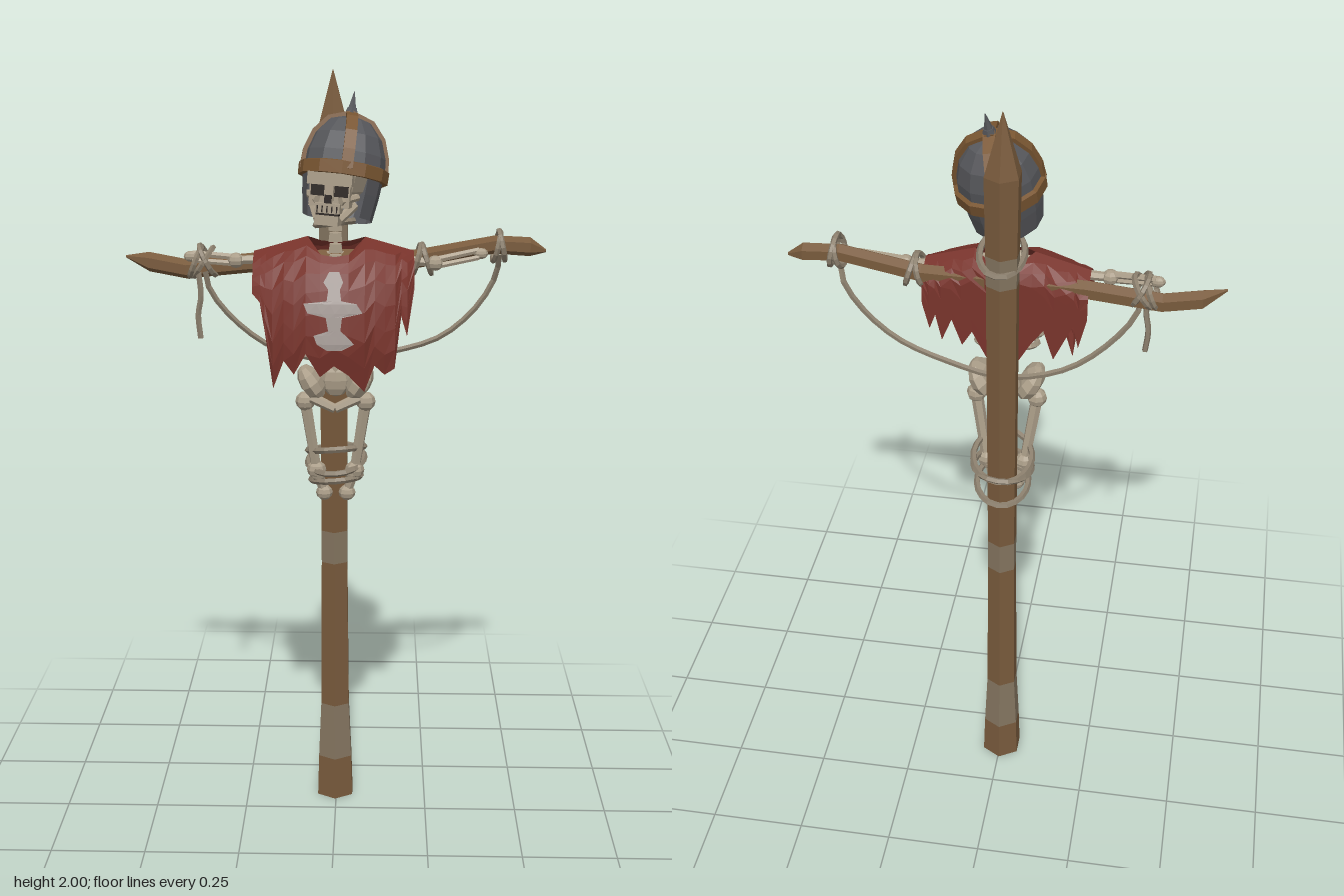
import * as THREE from 'three';

const mat = (name, color, double) => {
  const m = new THREE.MeshStandardMaterial({ color });
  m.name = name;
  if (double) m.side = THREE.DoubleSide;
  return m;
};
const V = (x, y, z) => new THREE.Vector3(x, y, z);

export function createModel() {
  const root = new THREE.Group();
  const wood = mat('wood', 0x785a3c), pale = mat('worn wood', 0x83745f);
  const bone = mat('bone', 0xaa9d88), rope = mat('rope', 0x8c806e);
  const red = mat('red cloth', 0x78332b, true), emblemGrey = mat('emblem grey', 0xa59b96, true);
  const metal = mat('helmet metal', 0x56575b, true), trim = mat('helmet trim', 0x785531);
  const dark = mat('dark hollow', 0x2a231f);

  // Faceted mesh
  const add = (name, geo, material, parent = root) => {
    const g = geo.index ? geo.toNonIndexed() : geo;
    g.computeVertexNormals();
    const mesh = new THREE.Mesh(g, material);
    mesh.name = name;
    parent.add(mesh);
    return mesh;
  };
  const indexed = (pos, idx) => {
    const g = new THREE.BufferGeometry();
    g.setAttribute('position', new THREE.Float32BufferAttribute(pos, 3));
    g.setIndex(idx);
    return g;
  };
  // Capped skin over rings [x, y, z, radius], with u x v along the path
  const loft = (rings, u, v, sides) => {
    const pos = [], idx = [], last = (rings.length - 1) * sides;
    for (const [x, y, z, r] of rings)
      for (let k = 0; k < sides; k++) {
        const a = (k / sides) * Math.PI * 2;
        pos.push(...V(x, y, z).addScaledVector(u, r * Math.cos(a)).addScaledVector(v, r * Math.sin(a)).toArray());
      }
    for (let i = 0; i < last; i += sides)
      for (let k = 0; k < sides; k++) {
        const a = i + k, b = i + (k + 1) % sides;
        idx.push(a, b, b + sides, a, b + sides, a + sides);
      }
    for (let k = 1; k < sides - 1; k++) idx.push(0, k + 1, k, last, last + k, last + k + 1);
    return indexed(pos, idx);
  };
  // Open sheet sampled from fn(column, row)
  const sheet = (nu, nv, fn) => {
    const pos = [], idx = [];
    for (let i = 0; i < nu; i++) for (let j = 0; j < nv; j++) pos.push(...fn(i, j));
    for (let i = 0; i < nu - 1; i++) for (let j = 0; j < nv - 1; j++) {
      const a = i * nv + j, b = a + nv;
      idx.push(a, a + 1, b, b, a + 1, b + 1);
    }
    return indexed(pos, idx);
  };
  const rod = (name, a, b, r1, r2, material = bone, parent = root) => {
    const d = b.clone().sub(a);
    const m = add(name, new THREE.CylinderGeometry(r2, r1, d.length(), 6), material, parent);
    m.position.copy(a).addScaledVector(d, 0.5);
    m.quaternion.setFromUnitVectors(V(0, 1, 0), d.normalize());
    return m;
  };
  const ball = (name, p, sx, sy, sz, material = bone, parent = root) => {
    const m = add(name, new THREE.SphereGeometry(1, 8, 6), material, parent);
    m.position.copy(p);
    m.scale.set(sx, sy, sz);
    return m;
  };
  const longBone = (name, a, b, r) => {
    rod(name, a, b, r, r * 0.85);
    ball(name + 'TopJoint', a, r * 1.6, r * 1.6, r * 1.6);
    ball(name + 'EndJoint', b, r * 1.6, r * 1.5, r * 1.6);
  };
  const tube = (name, pts, r, material = rope, closed = false, n = 14) =>
    add(name, new THREE.TubeGeometry(new THREE.CatmullRomCurve3(pts, closed), n, r, 5, closed), material);
  const box = (name, w, h, d, x, y, z, material, parent = root) => {
    const m = add(name, new THREE.BoxGeometry(w, h, d), material, parent);
    m.position.set(x, y, z);
    return m;
  };

  // Upright stake with worn bands and a sharpened tip
  const post = [[0, 0.056], [0.12, 0.052], [0.28, 0.044], [0.7, 0.04], [0.79, 0.04], [1.2, 0.041],
    [1.57, 0.042], [1.65, 0.043], [1.85, 0.046], [2, 0.001]].map(([y, r]) => [-0.003 - y * 0.003, y, -0.105, r]);
  for (let i = 0; i < post.length - 1; i++)
    add('stakeSection', loft([post[i], post[i + 1]], V(0, 0, 1), V(1, 0, 0), 6), [1, 3, 6].includes(i) ? pale : wood);

  // Crooked crossbeam
  add('crossbeam', loft([[-0.53, 1.545, -0.012, 0.003], [-0.475, 1.528, -0.035, 0.025], [-0.38, 1.51, -0.035, 0.025],
    [-0.2, 1.528, -0.035, 0.025], [0, 1.535, -0.04, 0.026], [0.2, 1.537, -0.035, 0.024], [0.4, 1.575, -0.035, 0.023],
    [0.49, 1.57, -0.035, 0.024], [0.53, 1.56, -0.035, 0.004]], V(0, 1, 0), V(0, 0, 1), 6), wood);

  // Spine
  for (let i = 0; i < 14; i++) {
    const y = 1.25 + i * 0.029;
    const m = add('vertebra', new THREE.CylinderGeometry(0.017, 0.02, 0.022, 6), bone);
    m.position.set(0, y, -0.025 + 0.035 * Math.max(0, (y - 1.5) / 0.13));
    box('spinousProcess', 0.008, 0.012, 0.03, 0, y, m.position.z - 0.02, bone);
  }
  rod('sternum', V(0, 1.53, 0.085), V(0, 1.4, 0.11), 0.012, 0.016);

  for (const s of [-1, 1]) {
    // Ribs
    for (let i = 0; i < 7; i++) {
      const y = 1.55 - i * 0.032, w = 0.07 + 0.032 * Math.sin((i + 1) * 0.42);
      const end = i < 5 ? V(s * 0.012, y - 0.04, 0.09 + i * 0.004) : V(s * 0.06, y - 0.05, 0.085);
      tube('rib', [V(s * 0.012, y, -0.03), V(s * w * 0.7, y - 0.004, -0.04), V(s * w, y - 0.025, 0.015),
        V(s * w * 0.75, y - 0.045, 0.075), end], 0.0075, bone, false, 10);
    }
    // Shoulder and arm
    longBone('collarbone', V(s * 0.02, 1.545, 0.07), V(s * 0.14, 1.56, 0.005), 0.009);
    const blade = ball('shoulderBlade', V(s * 0.09, 1.49, -0.045), 0.035, 0.055, 0.008);
    blade.rotation.z = s * 0.2;
    const ey = s < 0 ? 1.54 : 1.535, hy = s < 0 ? 1.55 : 1.56;
    longBone('upperArm', V(s * 0.15, 1.545, 0.008), V(s * 0.25, ey, 0.012), 0.013);
    rod('forearmOuter', V(s * 0.25, ey + 0.008, 0.012), V(s * 0.36, hy + 0.005, -0.005), 0.009, 0.008);
    rod('forearmInner', V(s * 0.25, ey - 0.008, 0.014), V(s * 0.36, hy - 0.012, 0.002), 0.008, 0.007);
    ball('wrist', V(s * 0.365, hy - 0.003, -0.003), 0.018, 0.014, 0.013);
    // Hip and thigh
    const hip = ball('hipBone', V(s * 0.062, 1.225, 0.005), 0.03, 0.05, 0.062);
    hip.rotation.z = -s * 0.55;
    rod('pubicBone', V(s * 0.06, 1.19, 0.03), V(0, 1.165, 0.045), 0.014, 0.012);
    longBone('thigh', V(s * 0.078, 1.175, 0.005), V(s * 0.05, 0.985, -0.015), 0.016);
    longBone('shin', V(s * 0.046, 0.975, -0.015), V(s * 0.03, 0.92, -0.022), 0.014);
  }
  ball('sacrum', V(0, 1.225, -0.025), 0.04, 0.045, 0.022);

  // Skull
  const skull = new THREE.Group();
  skull.name = 'skull';
  skull.position.set(-0.003, 1.7, 0.04);
  skull.rotation.set(-0.05, -0.15, -0.08);
  root.add(skull);
  ball('cranium', V(0.005, 0.06, -0.01), 0.075, 0.08, 0.085, bone, skull);
  box('brow', 0.11, 0.03, 0.05, 0, 0.05, 0.056, bone, skull);
  box('noseBridge', 0.022, 0.045, 0.05, 0, 0.02, 0.055, bone, skull);
  box('faceCore', 0.1, 0.06, 0.05, 0, 0.012, 0.042, bone, skull);
  box('noseHollow', 0.018, 0.02, 0.005, 0, 0.002, 0.081, dark, skull);
  box('upperTeeth', 0.062, 0.024, 0.05, 0, -0.02, 0.06, bone, skull);
  box('mouthGap', 0.056, 0.008, 0.045, 0, -0.034, 0.06, dark, skull);
  box('chin', 0.058, 0.024, 0.05, 0, -0.049, 0.06, bone, skull);
  for (let i = -2; i <= 2; i++) box('toothGap', 0.003, 0.016, 0.004, i * 0.012, -0.022, 0.0845, dark, skull);
  for (const s of [-1, 1]) {
    box('eyeSocket', 0.034, 0.026, 0.006, s * 0.029, 0.021, 0.066, dark, skull);
    rod('cheekbone', V(s * 0.028, -0.002, 0.07), V(s * 0.062, 0.008, 0.02), 0.011, 0.009, bone, skull);
    rod('jawSide', V(s * 0.026, -0.05, 0.06), V(s * 0.052, -0.015, 0.0), 0.011, 0.012, bone, skull);
  }

  // Helmet with crossed bands, spike and hanging neck guard
  const helmet = new THREE.Group();
  helmet.name = 'helmet';
  helmet.position.set(0.02, 1.757, 0.034);
  helmet.rotation.set(-0.25, 0, -0.13);
  root.add(helmet);
  const prof = [[0.103, 0], [0.1, 0.045], [0.085, 0.09], [0.054, 0.127], [0.001, 0.145]];
  add('dome', new THREE.LatheGeometry(prof.map(p => new THREE.Vector2(...p)), 12), metal, helmet);
  add('rim', new THREE.LatheGeometry([[0.099, -0.014], [0.111, -0.014], [0.112, 0.016], [0.099, 0.02]]
    .map(p => new THREE.Vector2(...p)), 12), trim, helmet);
  const grow = (k) => prof.map(([r, y]) => [r * k, y * k]);
  const half = [...grow(1.06), ...grow(1.06).reverse().map(([r, y]) => [-r, y])];
  const inner = [...grow(0.94).map(([r, y]) => [-r, y]), ...grow(0.94).reverse()];
  const arch = new THREE.Shape([...half, ...inner].map(p => new THREE.Vector2(...p)));
  for (const turn of [0.1, 0.1 + Math.PI / 2]) {
    const g = new THREE.ExtrudeGeometry(arch, { depth: 0.028, bevelEnabled: false }).translate(0, 0, -0.014);
    add('helmetBand', g, trim, helmet).rotation.y = turn;
  }
  rod('spikeBase', V(0, 0.14, 0), V(0, 0.162, 0), 0.02, 0.013, metal, helmet);
  rod('spike', V(0, 0.16, 0), V(0, 0.202, 0), 0.011, 0.001, metal, helmet);
  add('neckGuard', new THREE.LatheGeometry([[0.086, -0.108], [0.095, -0.05], [0.1, 0]].map(p => new THREE.Vector2(...p)),
    9, 0.7, Math.PI * 2 - 1.75), metal, helmet);

  // Torn tabard: drop below the shoulder ridge decides the depth
  const lerp = (table, d) => {
    for (let i = 1; i < table.length; i++) {
      const [d0, z0] = table[i - 1], [d1, z1] = table[i];
      if (d <= d1) return z0 + (z1 - z0) * (d - d0) / (d1 - d0);
    }
    return table[table.length - 1][1];
  };
  const ridge = x => 1.6 - Math.max(0, Math.abs(x) - 0.07) * 0.28;
  const frontZ = (x, y) => lerp([[0, 0], [0.018, 0.06], [0.07, 0.115], [0.15, 0.146], [0.25, 0.158], [0.37, 0.132]],
    ridge(x) - y) * (1 - 7 * x * x);
  const backZ = (x, y) => lerp([[0, 0], [0.02, -0.045], [0.05, -0.064], [0.3, -0.064]], ridge(x) - y);
  const neck = (x, drop) => ridge(x) - (Math.abs(x) < 0.07 ? drop * Math.sqrt(1 - (x / 0.07) ** 2) : 0);
  // Columns: x, front hem, back hem
  const hem = [[-0.205, 1.47, 1.46], [-0.185, 1.45, 1.38], [-0.172, 1.38, 1.44], [-0.153, 1.235, 1.4], [-0.125, 1.31, 1.34],
    [-0.1, 1.275, 1.42], [-0.07, 1.33, 1.38], [-0.035, 1.27, 1.32], [0, 1.3, 1.35], [0.035, 1.275, 1.32], [0.075, 1.23, 1.4],
    [0.1, 1.3, 1.36], [0.125, 1.275, 1.43], [0.15, 1.29, 1.37], [0.165, 1.42, 1.44], [0.18, 1.37, 1.4], [0.197, 1.48, 1.47]];
  const drop = [0, 0.06, 0.14, 0.28, 0.45, 0.65, 0.83, 1];
  const panel = (col, neckDrop, depth) => sheet(hem.length, drop.length, (i, j) => {
    const x = hem[i][0], top = neck(x, neckDrop), y = top + (hem[i][col] - top) * drop[j];
    return [x, y, depth(x, y)];
  });
  add('tabardFront', panel(1, 0.04, frontZ), red);
  add('tabardBack', panel(2, 0.02, backZ), red);

  // Faded cross painted on the cloth: y, left edge, right edge
  const cross = [[1.53, -0.012, 0.012], [1.505, -0.026, 0.022], [1.488, -0.014, 0.014], [1.462, -0.018, 0.018],
    [1.455, -0.075, 0.055], [1.432, -0.065, 0.07], [1.422, -0.02, 0.02], [1.39, -0.014, 0.016],
    [1.378, -0.05, 0.03], [1.357, -0.042, 0.05], [1.342, -0.018, 0.02]];
  add('tabardCross', sheet(5, cross.length, (i, j) => {
    const [y, l, r] = cross[j], x = l + (r - l) * i / 4;
    return [x, y, frontZ(x, y) + 0.005];
  }), emblemGrey);

  // Lashings around the stake: y, half width, half depth, tilt
  const ring = (fn) => Array.from({ length: 10 }, (_, k) => fn(Math.cos(k * Math.PI / 5), Math.sin(k * Math.PI / 5)));
  for (const [y, rx, rz, tilt] of [[1.03, 0.075, 0.088, 0.02], [1.0, 0.075, 0.09, -0.015], [0.95, 0.066, 0.088, 0.015],
    [1.625, 0.052, 0.092, 0.012]])
    tube('stakeLashing', ring((c, s) => V(c * rx, y + s * tilt + c * 0.006, -0.062 + s * rz)), 0.0085, rope, true, 20);

  // Lashings around the beam: x, y, lean
  for (const [x, y, lean] of [[-0.355, 1.53, 0.015], [-0.325, 1.535, -0.02], [-0.335, 1.53, 0.025],
    [0.205, 1.54, 0.01], [0.23, 1.54, -0.012], [0.405, 1.573, 0.008], [0.418, 1.575, -0.008]])
    tube('beamLashing', ring((c, s) => V(x + c * lean, y + c * 0.037, -0.022 + s * 0.042)), 0.0075, rope, true, 16);

  // Slack rope and loose end
  tube('slackRope', [V(-0.33, 1.51, -0.005), V(-0.32, 1.46, -0.015), V(-0.25, 1.37, -0.03), V(-0.15, 1.3, -0.045),
    V(0, 1.27, -0.055), V(0.14, 1.295, -0.045), V(0.27, 1.34, -0.03), V(0.36, 1.42, -0.025), V(0.405, 1.5, -0.02),
    V(0.41, 1.56, 0.015)], 0.0075, rope, false, 24);
  tube('looseEnd', [V(-0.345, 1.51, 0.01), V(-0.34, 1.45, 0.012), V(-0.348, 1.4, 0.01), V(-0.343, 1.34, 0.012)], 0.0075);
  return root;
}
